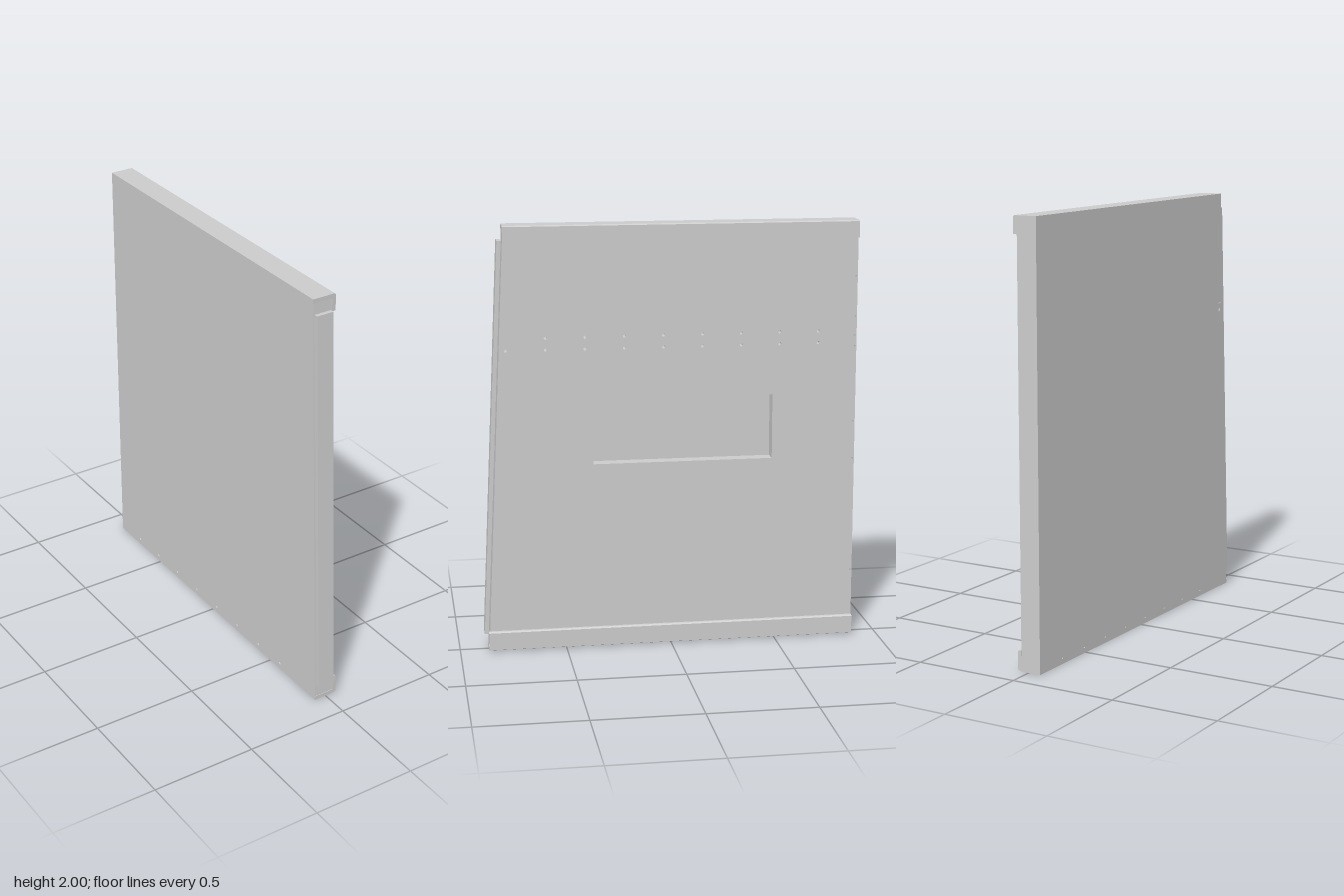
import * as THREE from 'three';

const grey = new THREE.MeshStandardMaterial({ color: 0xcccccc, side: THREE.DoubleSide, flatShading: true });

// Slanted front edge of the panel
const frontZ = (y) => 0.86 - (y - 0.08) * 0.0492;

// Shape in the (z, y) plane, later turned so that its normal points to +x
function sideShape(points) {
  return new THREE.Shape(points.map(([z, y]) => new THREE.Vector2(-z, y)));
}
function addHole(shape, z, y, r) {
  shape.holes.push(new THREE.Path().absarc(-z, y, r, 0, Math.PI * 2, true));
}
function addWindow(shape) {
  shape.holes.push(sideShape([[0.365, 0.88], [0.365, 1.19], [-0.485, 1.19], [-0.485, 0.88]]));
}
function addMesh(group, name, geometry) {
  const mesh = new THREE.Mesh(geometry, grey);
  mesh.name = name;
  group.add(mesh);
  return mesh;
}
// Flat sheet at x
function sheet(group, name, shape, x) {
  addMesh(group, name, new THREE.ShapeGeometry(shape, 5).rotateY(Math.PI / 2).translate(x, 0, 0));
}
// Solid slab from x0 to x1
function slab(group, name, shape, x0, x1) {
  const g = new THREE.ExtrudeGeometry(shape, { depth: x1 - x0, bevelEnabled: false, curveSegments: 5 });
  addMesh(group, name, g.rotateY(Math.PI / 2).translate(x0, 0, 0));
}
// Rail with a profile in (x, y), running from z0 to z1
function rail(group, name, profile, z0, z1) {
  const shape = new THREE.Shape(profile.map(([x, y]) => new THREE.Vector2(x, y)));
  const g = new THREE.ExtrudeGeometry(shape, { depth: z1 - z0, bevelEnabled: false });
  addMesh(group, name, g.translate(0, 0, z0));
}
// Four-cornered panel outline between two heights
function outline(y0, y1, back = -0.879, inset = 0) {
  return sideShape([[frontZ(y0) - inset, y0], [back, y0], [back, y1], [frontZ(y1) - inset, y1]]);
}

export function createModel() {
  const group = new THREE.Group();
  const seam = 1.46;
  const columns = Array.from({ length: 9 }, (_, i) => 0.762 - i * 0.1825);

  // Bolt holes either side of the seam
  const upperHoles = (s) => columns.slice(1).forEach((z) => addHole(s, z, 1.482, 0.009));
  const lowerHoles = (s) => columns.forEach((z) => addHole(s, z, 1.427, 0.009));
  // Small fixing holes along the back edge
  const edgeHoles = (s, heights) => heights.forEach((y) => addHole(s, -0.872, y, 0.004));

  // Core with the window opening
  const core = outline(0.02, 1.98, -0.87, 0.01);
  addWindow(core);
  upperHoles(core);
  lowerHoles(core);
  slab(group, 'core', core, -0.045, 0.02);

  // Window pane
  slab(group, 'windowPane', sideShape([[0.365, 0.88], [-0.485, 0.88], [-0.485, 1.19], [0.365, 1.19]]), -0.05, -0.046);

  // Outer skins on both sides, split by the seam
  for (const [side, x] of [['left', 0.037], ['right', -0.06]]) {
    const outer = side === 'right';
    const lower = outline(outer ? 0 : 0.02, seam - 0.002);
    addWindow(lower);
    lowerHoles(lower);
    edgeHoles(lower, [0.32, 0.87, 1.05, 1.41]);
    const upper = outline(seam + 0.002, outer ? 2 : 1.98);
    upperHoles(upper);
    edgeHoles(upper, [1.55, 1.74]);
    if (outer) {
      columns.slice(1).forEach((z) => {
        addHole(upper, z, 1.965, 0.006);
        addHole(lower, z, 0.03, 0.006);
      });
    }
    sheet(group, side + 'LowerSkin', lower, x);
    sheet(group, side + 'UpperSkin', upper, x);
  }

  // Frame pieces closing the panel edges
  slab(group, 'frontEdge', sideShape([[frontZ(0.02), 0.02], [frontZ(0.02) - 0.012, 0.02],
    [frontZ(1.98) - 0.012, 1.98], [frontZ(1.98), 1.98]]), -0.059, 0.036);
  slab(group, 'backEdge', sideShape([[-0.875, 0], [-0.88, 0], [-0.88, 2], [-0.875, 2]]), -0.06, 0.037);

  // Top and bottom rails with a lip on the left side
  rail(group, 'topRail', [[-0.06, 1.98], [0.038, 1.98], [0.038, 1.92], [0.056, 1.92], [0.056, 1.995],
    [0.05, 2], [-0.06, 2]], -0.88, 0.77);
  rail(group, 'bottomRail', [[-0.06, 0], [0.035, 0], [0.056, 0.008], [0.056, 0.09], [0.05, 0.096],
    [0.038, 0.096], [0.038, 0.02], [-0.06, 0.02]], -0.88, 0.865);

  // Slanted sealing bar in front of the panel
  slab(group, 'frontBar', sideShape([[0.884, 0.08], [0.866, 0.08], [0.774, 1.93], [0.793, 1.93]]), -0.054, 0.028);

  return group;
}
